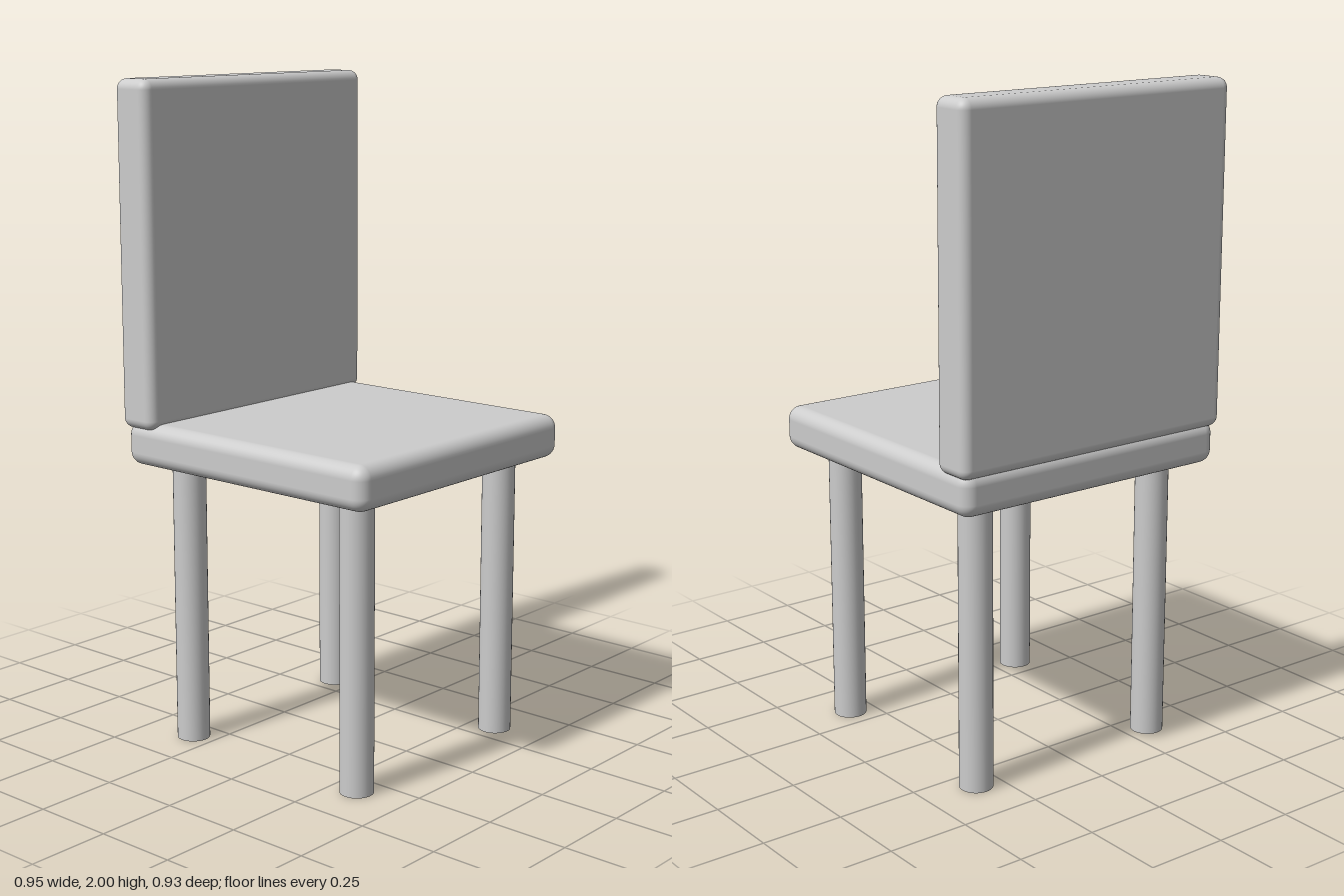
import * as THREE from 'three';
import { RoundedBoxGeometry } from 'three/addons/geometries/RoundedBoxGeometry.js';

export function createModel() {
  const chair = new THREE.Group();
  chair.name = 'chair';
  const grey = new THREE.MeshStandardMaterial({ color: 0xcccccc });
  grey.name = 'light grey';

  function add(name, geometry, x, y, z) {
    const mesh = new THREE.Mesh(geometry, grey);
    mesh.name = name;
    mesh.position.set(x, y, z);
    chair.add(mesh);
  }

  // Cushioned slabs with softly rounded edges
  add('seat', new RoundedBoxGeometry(0.926, 0.132, 0.922, 5, 0.04), 0, 0.931, 0.004);
  add('backrest', new RoundedBoxGeometry(0.946, 1.022, 0.131, 5, 0.03), 0, 1.489, -0.4);

  // Four round legs, running slightly into the seat
  const leg = new THREE.CylinderGeometry(0.05, 0.05, 0.9, 32);
  for (const [side, x] of [['Left', 0.33], ['Right', -0.33]]) {
    add('front' + side + 'Leg', leg, x, 0.45, 0.335);
    add('back' + side + 'Leg', leg, x, 0.45, -0.325);
  }
  return chair;
}
